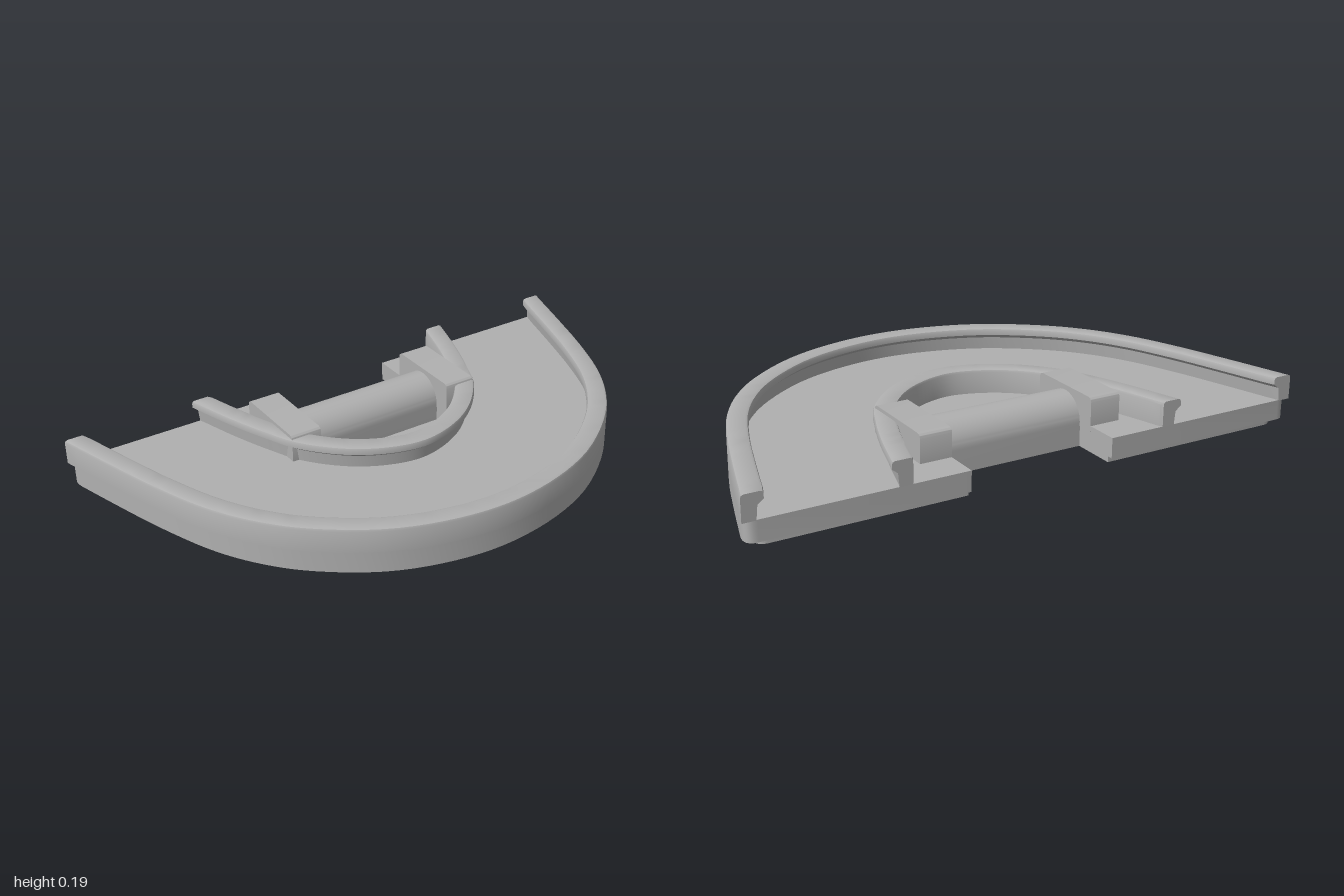
import * as THREE from 'three';
import { toCreasedNormals } from 'three/addons/utils/BufferGeometryUtils.js';

const BACK = -0.56, FLOOR = 0.09;

// Smooth plan curve from +x to -x, mirrored about the centre; y holds z.
function planCurve(half) {
  const pts = [...half, ...half.slice(0, -1).reverse().map(([x, z]) => [-x, z])];
  const curve = new THREE.CatmullRomCurve3(pts.map(([x, z]) => new THREE.Vector3(x, z, 0)));
  return curve.getPoints(72).map((p) => new THREE.Vector2(p.x, p.y));
}

// Shift a plan curve inwards; the ends stay on the back line.
function inset(path, d) {
  const last = path.length - 1;
  return path.map((p, i) => {
    if (i === 0 || i === last) return new THREE.Vector2(p.x - Math.sign(p.x) * d, p.y);
    const t = path[i + 1].clone().sub(path[i - 1]).normalize();
    return new THREE.Vector2(p.x + t.y * -d, p.y + t.x * d);
  });
}

// Sweep a (depth, height) profile along a plan curve and cap both ends.
function sweepRail(path, profile) {
  const pos = [], index = [], n = profile.length;
  const lines = profile.map(([d]) => inset(path, d));
  path.forEach((_, i) => profile.forEach(([, y], j) => pos.push(lines[j][i].x, y, lines[j][i].y)));
  for (let i = 0; i < path.length - 1; i++) {
    for (let j = 0; j < n; j++) {
      const k = (j + 1) % n;
      const a = i * n + j, b = a + n, d = i * n + k, c = d + n;
      index.push(a, d, c, a, c, b);
    }
  }
  const end = (path.length - 1) * n;
  const caps = THREE.ShapeUtils.triangulateShape(profile.map(([d, y]) => new THREE.Vector2(d, y)), []);
  for (const [a, b, c] of caps) index.push(a, b, c, end + a, end + c, end + b);
  const geo = new THREE.BufferGeometry();
  geo.setAttribute('position', new THREE.Float32BufferAttribute(pos, 3));
  geo.setIndex(index);
  return toCreasedNormals(geo, 0.45);
}

// Flat slab with rounded back corners and the open notch in its back edge.
function slab(path, back, bottom, top) {
  const r = 0.045;
  const side = path.filter((p) => p.y > back + r);
  const first = side[0], cornerX = first.x + 0.012;
  const s = new THREE.Shape();
  s.moveTo(first.x, first.y);
  side.slice(1).forEach((p) => s.lineTo(p.x, p.y));
  s.quadraticCurveTo(-cornerX, back, -cornerX + r, back);
  s.lineTo(-0.26, back);
  s.lineTo(-0.26, -0.1);
  s.lineTo(0.26, -0.1);
  s.lineTo(0.26, back);
  s.lineTo(cornerX - r, back);
  s.quadraticCurveTo(cornerX, back, first.x, first.y);
  const geo = new THREE.ExtrudeGeometry(s, { depth: top - bottom, bevelEnabled: false, curveSegments: 6 });
  geo.rotateX(Math.PI / 2).translate(0, top, 0);
  return toCreasedNormals(geo, 0.45);
}

// Extrude a side shape (drawn as -z, y) across x, centred on the given x.
function acrossX(shape, width, x) {
  const geo = new THREE.ExtrudeGeometry(shape, { depth: width, bevelEnabled: false, curveSegments: 20 });
  geo.translate(0, 0, -width / 2).rotateY(Math.PI / 2).translate(x, 0, 0);
  return toCreasedNormals(geo, 0.45);
}

export function createModel() {
  const group = new THREE.Group();
  const grey = new THREE.MeshStandardMaterial({ color: 0xb0b0b0, side: THREE.DoubleSide });
  grey.name = 'grey';
  const add = (name, geo) => {
    const mesh = new THREE.Mesh(geo, grey);
    mesh.name = name;
    group.add(mesh);
  };

  const outer = planCurve([[1, BACK], [0.93, -0.32], [0.87, -0.13], [0.797, 0.053], [0.715, 0.19],
    [0.6, 0.32], [0.4, 0.462], [0.2, 0.535], [0, 0.56]]);
  const inner = planCurve([[0.53, BACK], [0.475, -0.38], [0.42, -0.235], [0.365, -0.12],
    [0.245, 0.01], [0.12, 0.08], [0, 0.105]]);

  // Floor plate and the smaller foot beneath it
  add('floorPlate', slab(outer, BACK, 0.02, FLOOR));
  add('foot', slab(inset(outer, 0.02), BACK + 0.02, 0, 0.02));

  // Rails with a lip overhanging the channel
  add('outerRail', sweepRail(outer, [[0, 0.088], [0, 0.165], [0.003, 0.172], [0.01, 0.175], [0.06, 0.175],
    [0.067, 0.172], [0.07, 0.165], [0.07, 0.15], [0.05, 0.135], [0.045, 0.088]]));
  add('innerRail', sweepRail(inner, [[0.025, 0.088], [0.02, 0.135], [0, 0.15], [0, 0.165], [0.003, 0.172],
    [0.01, 0.175], [0.06, 0.175], [0.067, 0.172], [0.07, 0.165], [0.07, 0.088]]));

  // Round-topped bar across the notch, flat underneath
  const bar = new THREE.Shape();
  bar.moveTo(0.2, 0);
  bar.lineTo(0.38, 0);
  bar.lineTo(0.38, 0.08);
  bar.absarc(0.29, 0.08, 0.09, 0, Math.PI, false);
  bar.lineTo(0.2, 0);
  add('crossBar', acrossX(bar, 0.53, 0));

  // Blocks holding the bar at both ends
  const block = new THREE.Shape();
  block.moveTo(0.14, 0.07);
  block.lineTo(0.44, 0.07);
  block.lineTo(0.44, 0.172);
  block.quadraticCurveTo(0.438, 0.187, 0.42, 0.187);
  block.lineTo(0.16, 0.187);
  block.quadraticCurveTo(0.142, 0.187, 0.14, 0.172);
  block.lineTo(0.14, 0.07);
  add('leftBarBlock', acrossX(block, 0.112, 0.315));
  add('rightBarBlock', acrossX(block, 0.112, -0.315));

  return group;
}
